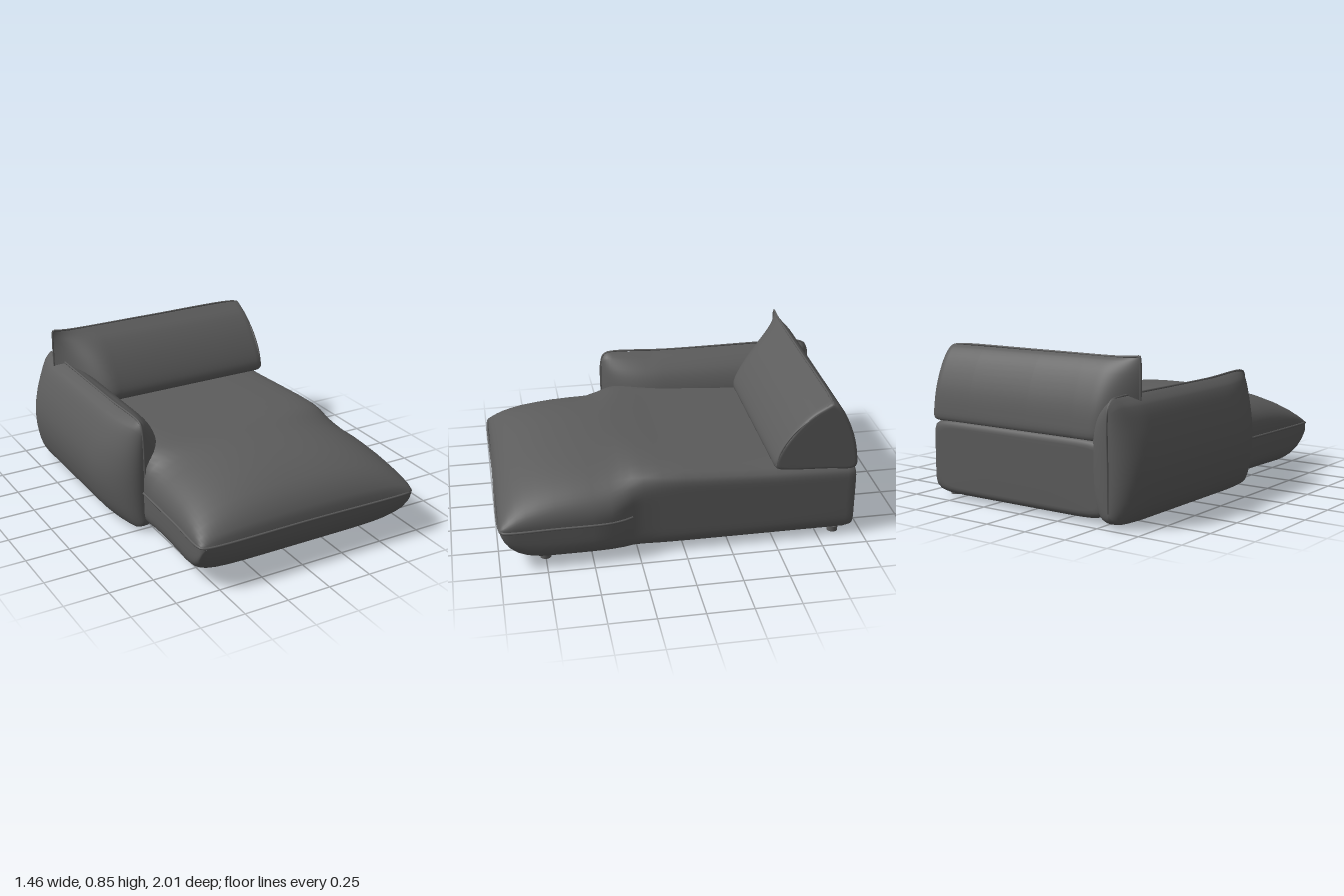
import * as THREE from 'three';

const fabric = new THREE.MeshStandardMaterial({ color: 0x5c5c5c, side: THREE.DoubleSide });
fabric.name = 'charcoal fabric';

// Skin a list of closed cross-sections; skip(i, j) leaves a face out.
function loft(rows, skip = () => false) {
  const n = rows[0].length, index = [];
  for (let i = 0; i < rows.length - 1; i++) {
    for (let j = 0; j < n; j++) {
      if (skip(i, j)) continue;
      const a = i * n + j, b = i * n + (j + 1) % n;
      index.push(a, b, a + n, b, b + n, a + n);
    }
  }
  const g = new THREE.BufferGeometry();
  g.setAttribute('position', new THREE.Float32BufferAttribute(rows.flat(2), 3));
  g.setIndex(index);
  g.computeVertexNormals();
  return g;
}

// Smooth a half-dozen profile points into a loop that starts and ends at the seam.
function smoothLoop(points, perSegment = 4) {
  const v = [...points, points[0]].map(p => new THREE.Vector3(p[0], p[1], 0));
  const curve = new THREE.CatmullRomCurve3(v, false, 'centripetal');
  return curve.getPoints((v.length - 1) * perSegment).slice(0, -1);
}

function piping(points, radius = 0.007) {
  const curve = new THREE.CatmullRomCurve3(points.map(p => new THREE.Vector3(...p)), false, 'centripetal');
  return new THREE.TubeGeometry(curve, 120, radius, 8);
}

// Seat: boxy at the back, swelling into a pinched pillow at the front, hollow below.
const SEAT = [ // z, left x, right x, top, bottom, pillow amount
  [-0.953, -0.50, 0.63, 0.40, 0.05, 0],
  [-0.948, -0.51, 0.645, 0.415, 0.035, 0],
  [-0.935, -0.52, 0.655, 0.428, 0.025, 0],
  [-0.90, -0.52, 0.66, 0.435, 0.02, 0],
  [-0.50, -0.52, 0.66, 0.45, 0.02, 0],
  [-0.20, -0.52, 0.66, 0.468, 0.02, 0],
  [0.00, -0.52, 0.66, 0.482, 0.02, 0.02],
  [0.12, -0.53, 0.66, 0.493, 0.02, 0.1],
  [0.22, -0.55, 0.66, 0.502, 0.02, 0.25],
  [0.28, -0.565, 0.67, 0.506, 0.02, 0.5],
  [0.33, -0.57, 0.692, 0.509, 0.02, 0.75],
  [0.40, -0.575, 0.715, 0.51, 0.02, 1],
  [0.50, -0.575, 0.72, 0.506, 0.02, 1],
  [0.60, -0.578, 0.72, 0.497, 0.02, 1],
  [0.70, -0.583, 0.72, 0.48, 0.02, 1],
  [0.78, -0.59, 0.72, 0.457, 0.022, 1],
  [0.85, -0.595, 0.72, 0.428, 0.038, 1],
  [0.90, -0.598, 0.72, 0.398, 0.064, 1],
  [0.94, -0.60, 0.72, 0.362, 0.103, 1],
  [0.97, -0.60, 0.715, 0.322, 0.155, 1],
  [0.985, -0.592, 0.707, 0.29, 0.2, 1],
  [0.993, -0.575, 0.69, 0.25, 0.248, 1],
];

function seatGeometry() {
  const N = 80, mid = 0.25;
  const rows = SEAT.map(([z, xl, xr, top, bottom, k]) => {
    const row = [];
    for (let j = 0; j < N; j++) {
      const t = j / N * Math.PI * 2, c = Math.cos(t), s = Math.sin(t);
      const n = s > 0 ? 10 / (1 + 3 * k) : 10 - 4 * k;
      const r = Math.pow(Math.abs(c) ** n + Math.abs(s) ** n, -1 / n);
      row.push([(xl + xr) / 2 + r * c * (xr - xl) / 2,
        mid + r * s * (s > 0 ? top - mid : mid - bottom), z]);
    }
    return row;
  });
  // flat closing face at the back
  const centre = [0.07, 0.23, -0.955];
  rows.unshift(rows[0].map(p => [centre[0] + (p[0] - 0.07) * 0.95, centre[1] + (p[1] - 0.23) * 0.93, -0.955]));
  rows.unshift(rows[0].map(() => centre));
  // open underside inside the rim
  return loft(rows, (i, j) => i >= 5 && i < 16 && j >= N * 0.65 && j < N * 0.85);
}

// Arm: upright pillow, pinched along its top, front and back.
function armGeometry() {
  const profile = smoothLoop([[0, 1], [-0.03, 0.975], [-0.07, 0.925], [-0.125, 0.76], [-0.155, 0.6],
    [-0.165, 0.45], [-0.155, 0.28], [-0.12, 0.1], [-0.07, 0.01], [-0.03, 0], [0.05, 0], [0.13, 0.04],
    [0.185, 0.2], [0.203, 0.45], [0.2, 0.6], [0.185, 0.72], [0.14, 0.85], [0.07, 0.945], [0.03, 0.975]]);
  const z0 = -0.993, z1 = 0.29, M = 48, R = 0.055;
  const rows = [];
  for (let i = 0; i <= M; i++) {
    const z = (z0 + z1) / 2 - Math.cos(i / M * Math.PI) * (z1 - z0) / 2;
    const d0 = z - z0, d1 = z1 - z;
    const round = (d, r) => Math.sqrt(Math.max(0, 1 - (1 - Math.min(d / r, 1)) ** 2));
    const thick = round(d0, 0.2) * round(d1, 0.35);
    const cut = R * (1 - round(Math.min(d0, d1), R));
    const top = 0.648 + 0.01 * Math.max(0, z / z1) - cut, bottom = 0.02 + cut;
    rows.push(profile.map(p => [-0.565 + p.x * thick, bottom + (top - bottom) * p.y, z]));
  }
  return loft(rows, (i, j) => i > 10 && i < M - 11 && j >= 36 && j < 40);
}

// Backrest: wedge cushion, pinched at the arm end and cut flat at the other.
function backGeometry() {
  const profile = smoothLoop([[0, 0.83], [0.04, 0.808], [0.11, 0.765], [0.2, 0.675], [0.28, 0.555],
    [0.305, 0.485], [0.295, 0.453], [0.26, 0.442], [0, 0.425], [-0.13, 0.415], [-0.157, 0.43],
    [-0.155, 0.5], [-0.13, 0.62], [-0.075, 0.75], [-0.03, 0.81]].map(([z, y]) => [z, y]));
  const ease = t => Math.sin(Math.min(1, t) * Math.PI / 2);
  const row = (x, scale) => {
    const d = x + 0.615;
    const lift = 0.014 * Math.exp(-d / 0.04) - 0.006 * d;
    return profile.map(p => {
      const z = p.x * (p.x > 0 ? ease(d / 0.28) : ease(d / 0.2));
      const y = p.y + lift * (p.y - 0.42) / 0.41;
      return [x, 0.6 + (y - 0.6) * scale, -0.79 + 0.06 + (z - 0.06) * scale];
    });
  };
  const rows = [];
  for (let i = 0; i <= 20; i++) rows.push(row(-0.615 + 0.32 * (i / 20) ** 1.4, 1));
  for (const [x, s] of [[0, 1], [0.4, 1], [0.62, 1], [0.643, 0.99], [0.656, 0.965], [0.66, 0.93], [0.661, 0.88], [0.661, 0]]) {
    rows.push(row(x, s));
  }
  return loft(rows);
}

export function createModel() {
  const model = new THREE.Group();
  const add = (name, geometry) => {
    const mesh = new THREE.Mesh(geometry, fabric);
    mesh.name = name;
    model.add(mesh);
    return mesh;
  };

  add('seat', seatGeometry());
  add('arm', armGeometry());
  add('backrest', backGeometry());

  // Raised seams
  add('seatPiping', piping([[0.672, 0.245, 0.285], [0.695, 0.245, 0.33], [0.717, 0.245, 0.42], [0.722, 0.245, 0.7],
    [0.722, 0.243, 0.94], [0.71, 0.243, 0.98], [0.67, 0.244, 0.992], [0.05, 0.25, 0.992], [-0.555, 0.254, 0.992],
    [-0.592, 0.256, 0.98], [-0.601, 0.256, 0.94], [-0.585, 0.25, 0.7], [-0.573, 0.25, 0.3]]));
  add('armPiping', piping([[-0.55, 0.08, 0.288], [-0.558, 0.35, 0.291], [-0.565, 0.6, 0.288], [-0.568, 0.645, 0.27],
    [-0.569, 0.657, 0.23], [-0.566, 0.648, -0.1], [-0.563, 0.648, -0.9], [-0.56, 0.638, -0.96],
    [-0.56, 0.59, -0.991], [-0.56, 0.3, -0.993], [-0.56, 0.08, -0.991]], 0.006));
  add('backrestPiping', piping([[-0.613, 0.62, -0.79], [-0.613, 0.8, -0.79], [-0.608, 0.838, -0.79], [-0.58, 0.836, -0.79],
    [-0.5, 0.83, -0.79], [0, 0.827, -0.79], [0.58, 0.823, -0.79], [0.635, 0.815, -0.785], [0.652, 0.785, -0.745],
    [0.653, 0.67, -0.595], [0.653, 0.56, -0.52], [0.653, 0.47, -0.495]], 0.006));

  // Low feet
  for (const [x, z] of [[0.59, 0.75], [-0.27, 0.75], [0.59, -0.85], [-0.52, -0.85], [-0.52, 0.19]]) {
    add('foot', new THREE.CylinderGeometry(0.03, 0.03, 0.03, 24)).position.set(x, 0.015, z);
  }
  return model;
}
